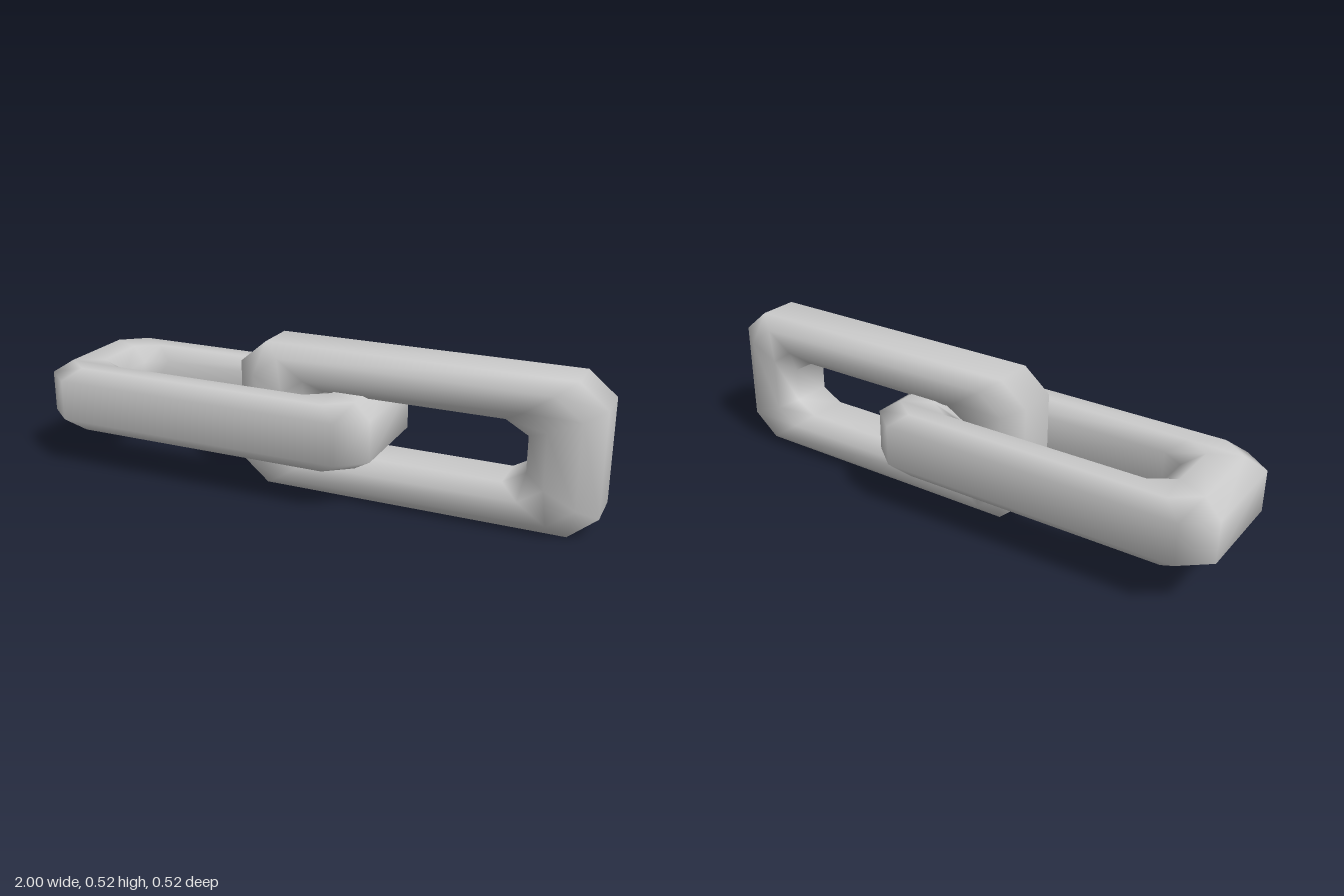
import * as THREE from 'three';

// Corners of one quarter of the link's outer and inner outline
const OUTER = [[0.6325, 0.181], [0.536, 0.262]];
const INNER = [[0.392, 0.063], [0.315, 0.108]];

// Octagonal cross-section: [share of the way from outer to inner outline, depth]
const SECTION = [
  [0, 0.073], [0.28, 0.118], [0.72, 0.118], [1, 0.073],
  [1, -0.073], [0.72, -0.118], [0.28, -0.118], [0, -0.073],
];

// Mirror a quarter outline into a closed counter-clockwise octagon
function ring([a, b]) {
  return [a, b, [-b[0], b[1]], [-a[0], a[1]], [-a[0], -a[1]], [-b[0], -b[1]], [b[0], -b[1]], [a[0], -a[1]]];
}

// Smooth closed loop skinned over the cross-sections
function linkGeometry() {
  const outer = ring(OUTER), inner = ring(INNER);
  const n = outer.length, m = SECTION.length;
  const positions = [], index = [];
  for (let i = 0; i < n; i++) {
    for (const [t, depth] of SECTION) {
      positions.push(
        THREE.MathUtils.lerp(outer[i][0], inner[i][0], t),
        THREE.MathUtils.lerp(outer[i][1], inner[i][1], t),
        depth,
      );
    }
    for (let j = 0; j < m; j++) {
      const i2 = (i + 1) % n, j2 = (j + 1) % m;
      const a = i * m + j, b = i2 * m + j, c = i2 * m + j2, d = i * m + j2;
      index.push(a, b, c, a, c, d);
    }
  }
  const geometry = new THREE.BufferGeometry();
  geometry.setAttribute('position', new THREE.Float32BufferAttribute(positions, 3));
  geometry.setIndex(index);
  geometry.computeVertexNormals();
  return geometry;
}

export function createModel() {
  const group = new THREE.Group();
  group.name = 'chain';
  const geometry = linkGeometry();
  const material = new THREE.MeshStandardMaterial({ color: 0xcccccc });

  // Upright link on the +x side
  const upright = new THREE.Mesh(geometry, material);
  upright.name = 'uprightLink';
  upright.position.set(0.3675, 0.262, 0);

  // Flat link on the -x side, threaded through the upright one
  const flat = new THREE.Mesh(geometry, material);
  flat.name = 'flatLink';
  flat.position.set(-0.3675, 0.262, 0);
  flat.rotation.x = Math.PI / 2;

  group.add(upright, flat);
  return group;
}
